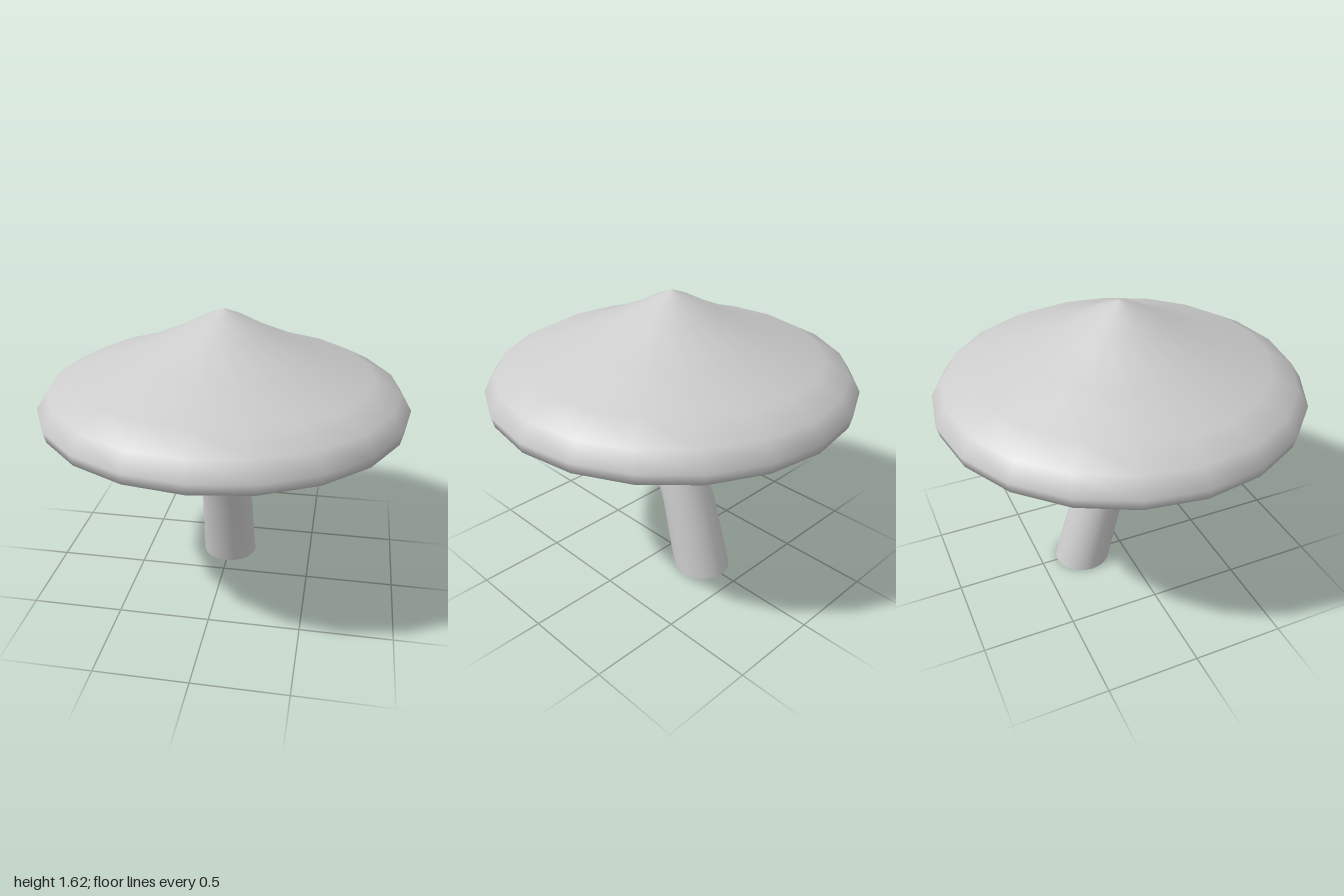
import * as THREE from 'three';

const SIDES = 20;

export function createModel() {
  const group = new THREE.Group();
  const material = new THREE.MeshStandardMaterial({ color: 0xcccccc, side: THREE.DoubleSide });

  // Cap: lathed from the centre of the underside, round the rim, up to the tip
  const profile = [
    [0, 1.03], [0.35, 1.03], [0.68, 1.03], [0.84, 1.035], [0.985, 1.05],
    [1, 1.11], [0.94, 1.2], [0.8, 1.275], [0.53, 1.37], [0.24, 1.5], [0.1, 1.575], [0, 1.615],
  ].map(([r, y]) => new THREE.Vector2(r, y));
  const cap = new THREE.Mesh(new THREE.LatheGeometry(profile, SIDES), material);
  cap.name = 'cap';
  group.add(cap);

  // Stem: level rings [height, radius, z offset] that lean forward, open at the foot
  const rings = [
    [0, 0.16, -0.25], [0.405, 0.148, -0.138], [0.57, 0.138, -0.06],
    [0.715, 0.126, -0.015], [0.9, 0.116, 0.01], [1.04, 0.11, 0],
  ];
  const stemGeometry = new THREE.LatheGeometry(rings.map(([y, r]) => new THREE.Vector2(r, y)), SIDES);
  const pos = stemGeometry.attributes.position;
  const normal = stemGeometry.attributes.normal;
  for (let i = 0; i < pos.count; i++) {
    const k = i % rings.length;
    const a = rings[Math.max(k - 1, 0)];
    const b = rings[Math.min(k + 1, rings.length - 1)];
    const slope = (b[2] - a[2]) / (b[0] - a[0]);
    pos.setZ(i, pos.getZ(i) + rings[k][2]);
    // Shear the normal with the lean so the seam stays smooth
    const n = new THREE.Vector3().fromBufferAttribute(normal, i);
    n.y -= slope * n.z;
    n.normalize();
    normal.setXYZ(i, n.x, n.y, n.z);
  }
  const stem = new THREE.Mesh(stemGeometry, material);
  stem.name = 'stem';
  group.add(stem);

  return group;
}
